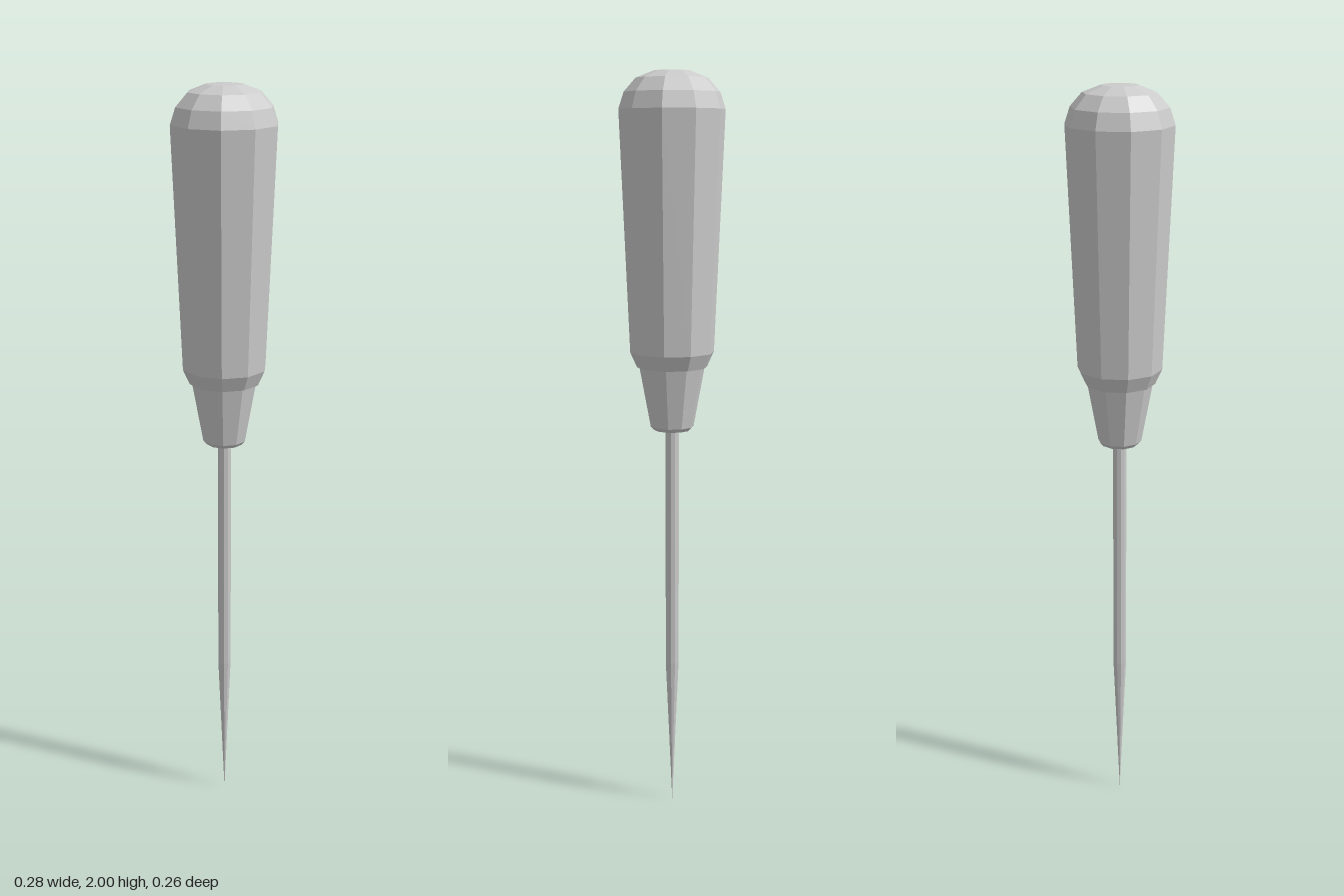
import * as THREE from 'three';

const SIDES = 10;
const material = new THREE.MeshStandardMaterial({ color: 0xcccccc, flatShading: true });

// Faceted turned part from [radius, height] pairs, bottom to top, with a corner on +x
function turned(name, profile) {
  const points = profile.map(([r, y]) => new THREE.Vector2(r, y));
  const mesh = new THREE.Mesh(new THREE.LatheGeometry(points, SIDES, Math.PI / 2), material);
  mesh.name = name;
  return mesh;
}

export function createModel() {
  const group = new THREE.Group();
  group.name = 'awl';

  // Tapered grip with a domed end
  group.add(turned('handle', [
    [0, 1.235], [0.094, 1.235], [0.112, 1.275], [0.139, 1.902],
    [0.125, 1.945], [0.094, 1.98], [0.047, 1.998], [0, 2],
  ]));

  // Collar that holds the shaft
  group.add(turned('ferrule', [
    [0, 1.065], [0.049, 1.065], [0.058, 1.075], [0.088, 1.237], [0, 1.237],
  ]));

  // Straight rod narrowing to a needle point
  group.add(turned('shaft', [
    [0, 0], [0.018, 0.41], [0.018, 1.07], [0, 1.07],
  ]));

  return group;
}
